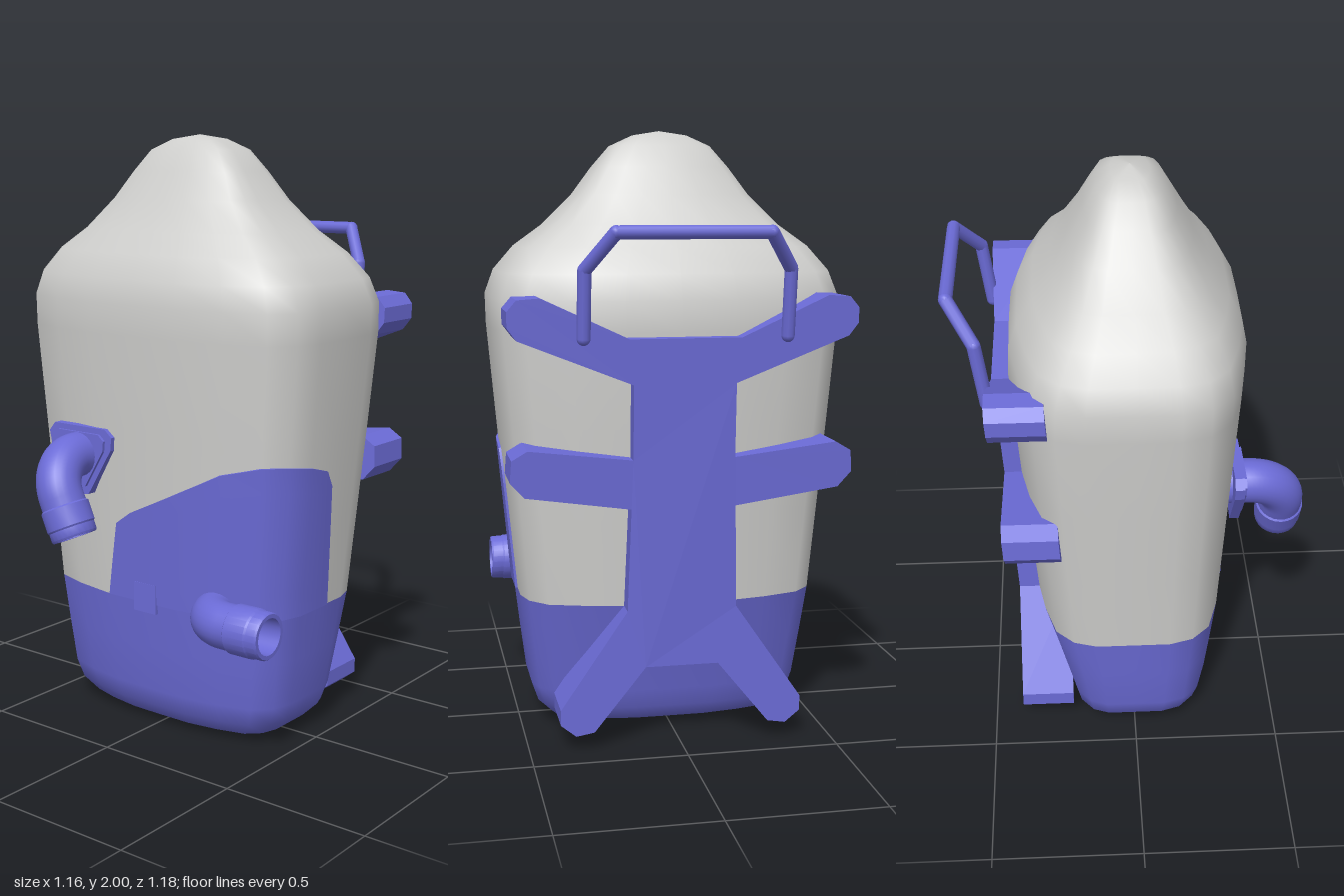
import * as THREE from 'three';
import { toCreasedNormals } from 'three/addons/utils/BufferGeometryUtils.js';

const grey = new THREE.MeshStandardMaterial({ color: 0xcfcfcd });
grey.name = 'light grey shell';
const blue = new THREE.MeshStandardMaterial({ color: 0x6b6bd6 });
blue.name = 'violet blue plastic';

// Body rows: height, half width, front depth, back depth
const baseRows = [
  [0, 0, 0, 0], [0.004, 0.27, 0.15, 0.12], [0.025, 0.39, 0.22, 0.2], [0.075, 0.44, 0.26, 0.235],
  [0.14, 0.462, 0.28, 0.25], [0.3, 0.482, 0.298, 0.292], [0.46, 0.5, 0.315, 0.335],
];
const shellRows = [
  [0.46, 0.5, 0.315, 0.335], [0.75, 0.526, 0.33, 0.357], [1.05, 0.553, 0.345, 0.378], [1.36, 0.58, 0.362, 0.398],
  [1.46, 0.582, 0.363, 0.393], [1.54, 0.553, 0.347, 0.365], [1.62, 0.485, 0.305, 0.312], [1.69, 0.39, 0.25, 0.252],
  [1.79, 0.29, 0.193, 0.195], [1.88, 0.225, 0.143, 0.147], [1.95, 0.165, 0.105, 0.108], [1.985, 0.09, 0.06, 0.06],
  [2, 0, 0, 0],
];

// Unit outline of a body section, half then mirrored
const half = [[0, 1.005], [0.31, 1], [0.6, 0.92], [0.84, 0.8], [0.955, 0.61], [1, 0.36], [1, 0],
  [1, -0.4], [0.955, -0.63], [0.84, -0.81], [0.6, -0.92], [0.31, -1], [0, -1.005]];
const outline = [...half, ...half.slice(1, -1).reverse().map(([u, v]) => [-u, v])];

const place = ([y, w, f, b], u, v) => [u * w, y, v * (v > 0 ? f : b)];

// Surface through a grid of points
function gridGeometry(rows, closed) {
  const n = rows[0].length, index = [];
  for (let i = 0; i < rows.length - 1; i++) {
    for (let j = 0; j < (closed ? n : n - 1); j++) {
      const k = (j + 1) % n, a = i * n + j, b = i * n + k;
      index.push(a, b, a + n, b, b + n, a + n);
    }
  }
  const g = new THREE.BufferGeometry();
  g.setAttribute('position', new THREE.Float32BufferAttribute(rows.flat(2), 3));
  g.setIndex(index);
  g.computeVertexNormals();
  return g;
}

const bodyGeometry = (rows) => gridGeometry(rows.map((r) => outline.map(([u, v]) => place(r, u, v))), true);

// Straight part of the body at any height between base and shoulder
function sectionAt(y) {
  const t = (y - 0.46) / 0.9, a = shellRows[0], b = shellRows[3];
  return a.map((q, i) => q + (b[i] - q) * t);
}

// Raised panel wrapping the front left corner
function panelGeometry() {
  // bottom u, v, top u, v, top height
  const cols = [
    [-0.28, 1, -0.18, 1, 0.72], [-0.22, 1, -0.06, 1, 0.765], [0.31, 1, 0.31, 1, 0.86], [0.6, 0.92, 0.6, 0.92, 0.94],
    [0.84, 0.8, 0.84, 0.8, 0.973], [0.955, 0.61, 0.955, 0.61, 0.972], [1, 0.36, 1, 0.36, 0.96],
    [1, 0, 1, 0.1, 0.935], [1, -0.12, 1, 0, 0.88],
  ];
  const last = cols.length - 1, steps = 6, rows = [];
  for (let i = -1; i <= steps + 1; i++) {
    const t = Math.min(Math.max(i, 0), steps) / steps, row = [];
    for (let j = -1; j <= last + 1; j++) {
      const [ub, vb, ut, vt, top] = cols[Math.min(Math.max(j, 0), last)];
      const rim = i < 0 || i > steps || j < 0 || j > last;
      const s = rim ? 0.98 : 1.016;
      const p = place(sectionAt(0.46 + (top - 0.46) * t), ub + (ut - ub) * t, vb + (vt - vb) * t);
      row.push([p[0] * s, p[1], p[2] * s]);
    }
    rows.push(row);
  }
  return toCreasedNormals(gridGeometry(rows, false), 0.7);
}

function extrude(points, depth, z) {
  const shape = new THREE.Shape(points.map(([x, y]) => new THREE.Vector2(x, y)));
  return new THREE.ExtrudeGeometry(shape, { depth, bevelEnabled: false }).translate(0, 0, z);
}

// Harness frame with spine, four arms and two feet, leaning back with height
function frameGeometry() {
  const side = [[0.18, 1.345], [0.46, 1.475], [0.53, 1.47], [0.56, 1.435], [0.56, 1.385], [0.53, 1.345],
    [0.165, 1.2], [0.165, 0.96], [0.5, 1.0], [0.55, 0.97], [0.555, 0.9], [0.51, 0.85],
    [0.17, 0.8], [0.18, 0.46], [0.4, 0.14], [0.4, 0.09], [0.35, 0.05], [0.29, 0.06], [0.12, 0.27]];
  const g = extrude([...side, ...side.map(([x, y]) => [-x, y]).reverse()], 0.18, -0.4);
  const p = g.attributes.position;
  for (let i = 0; i < p.count; i++) p.setZ(i, p.getZ(i) - 0.06 * Math.max(0, p.getY(i) - 0.45));
  g.computeVertexNormals();
  return g;
}

export function createModel() {
  const model = new THREE.Group();
  const add = (name, geometry, material = blue, parent = model) => {
    const m = new THREE.Mesh(geometry, material);
    m.name = name;
    parent.add(m);
    return m;
  };

  // Tank body
  add('shell', bodyGeometry(shellRows), grey);
  add('base', bodyGeometry(baseRows));
  add('cornerPanel', panelGeometry());
  add('latch', new THREE.BoxGeometry(0.095, 0.1, 0.03)).position.set(0.02, 0.478, 0.31);

  // Back frame and handle
  add('backFrame', frameGeometry());
  const handle = new THREE.Group();
  handle.name = 'handle';
  model.add(handle);
  const bar = [[0.325, 1.35, -0.462], [0.325, 1.56, -0.49], [0.24, 1.675, -0.572]];
  const joints = [...bar, ...bar.map(([x, y, z]) => [-x, y, z]).reverse()].map((p) => new THREE.Vector3(...p));
  for (let i = 0; i < joints.length - 1; i++) {
    const line = new THREE.LineCurve3(joints[i], joints[i + 1]);
    add('handleBar', new THREE.TubeGeometry(line, 1, 0.022, 10), blue, handle);
  }
  joints.forEach((p) => add('handleJoint', new THREE.SphereGeometry(0.022, 10, 8), blue, handle).position.copy(p));

  // Bent pipes ending in a hollow collar
  const addPipe = (name, start, corner, end, bend, collarLength) => {
    const [s, c, e] = [start, corner, end].map((p) => new THREE.Vector3(...p));
    const inDir = c.clone().sub(s).normalize(), outDir = e.clone().sub(c).normalize();
    const a = c.clone().addScaledVector(inDir, -bend), b = c.clone().addScaledVector(outDir, bend);
    const collarStart = e.clone().addScaledVector(outDir, -collarLength);
    const k = 0.55 * bend;
    const path = new THREE.CurvePath();
    path.add(new THREE.LineCurve3(s, a));
    path.add(new THREE.CubicBezierCurve3(a, a.clone().addScaledVector(inDir, k), b.clone().addScaledVector(outDir, -k), b));
    path.add(new THREE.LineCurve3(b, collarStart.clone().addScaledVector(outDir, 0.02)));
    const group = new THREE.Group();
    group.name = name;
    model.add(group);
    add('pipe', new THREE.TubeGeometry(path, 28, 0.075, 24), blue, group);
    const L = collarLength;
    const profile = [[0.074, 0], [0.081, 0.006], [0.081, L * 0.65], [0.077, L * 0.7], [0.077, L - 0.006],
      [0.073, L], [0.06, L], [0.058, 0.025], [0, 0.025]].map(([x, y]) => new THREE.Vector2(x, y));
    const collar = add('collar', toCreasedNormals(new THREE.LatheGeometry(profile, 24), 0.6), blue, group);
    collar.position.copy(collarStart);
    collar.quaternion.setFromUnitVectors(new THREE.Vector3(0, 1, 0), outDir);
  };
  addPipe('upperElbow', [-0.23, 0.945, 0.3], [-0.23, 0.945, 0.51], [-0.12, 0.705, 0.51], 0.125, 0.11);
  addPipe('lowerElbow', [0.285, 0.47, 0.2], [0.285, 0.47, 0.365], [0.56, 0.47, 0.365], 0.11, 0.13);

  // Mounting flange of the upper elbow, two stacked layers
  const flange = [[-0.345, 1.04], [-0.12, 1.04], [-0.09, 1.015], [-0.095, 0.97], [-0.195, 0.81],
    [-0.25, 0.8], [-0.36, 0.965], [-0.37, 1.01]];
  add('flange', extrude(flange, 0.032, 0.328));
  const inner = flange.map(([x, y]) => [-0.23 + (x + 0.23) * 0.8, 0.945 + (y - 0.945) * 0.8]);
  add('flangeFace', extrude(inner, 0.04, 0.33));
  return model;
}
